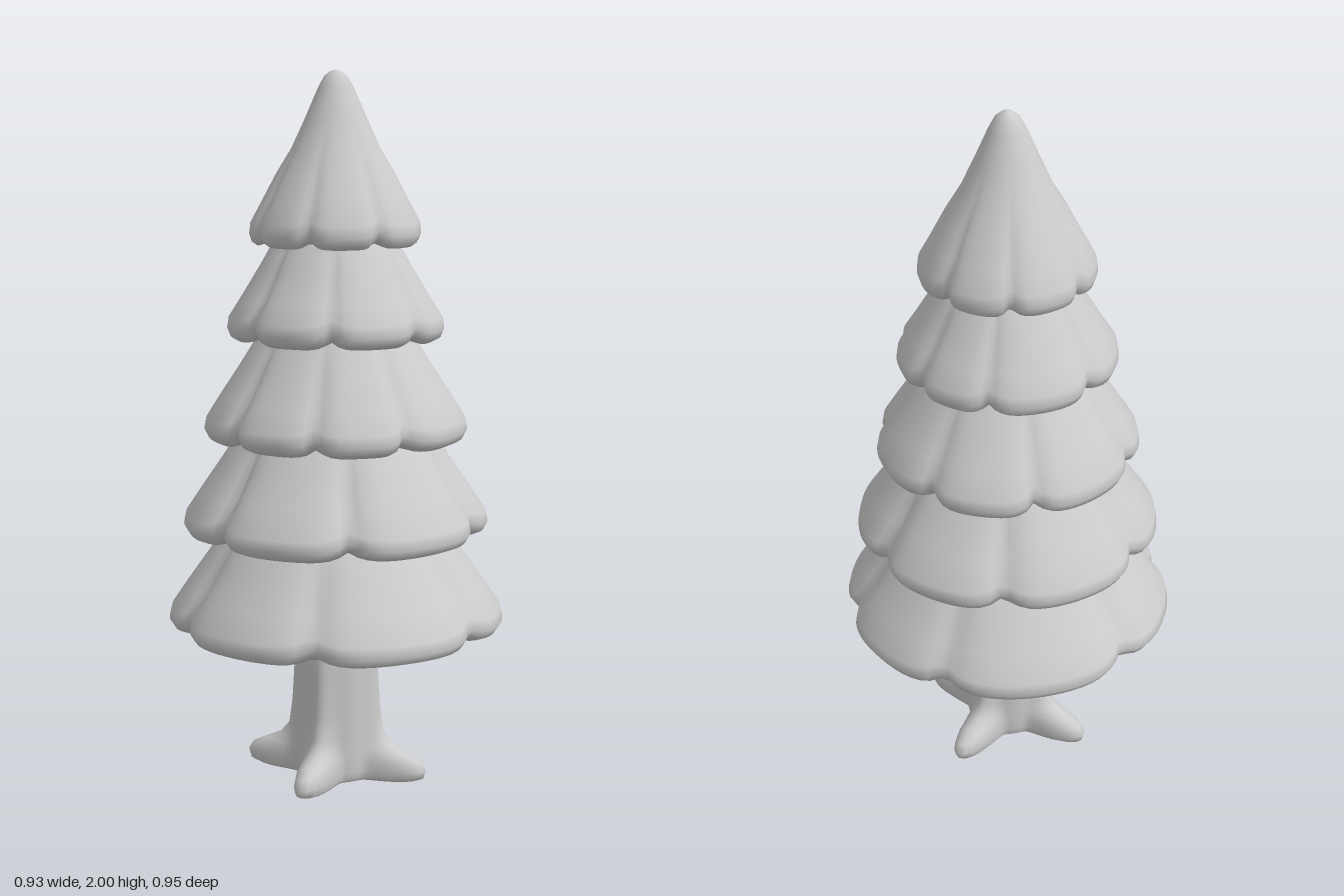
import * as THREE from 'three';

const material = new THREE.MeshStandardMaterial({ color: 0xcccccc });
const SEGMENTS = 96;

// Skin of closed rings; at(ring, angle) gives [radius, y]. First and last rings collapse to the axis.
function ringSkin(name, ringCount, at) {
  const positions = [], index = [];
  for (let i = 0; i < ringCount; i++) {
    for (let j = 0; j < SEGMENTS; j++) {
      const a = (j / SEGMENTS) * Math.PI * 2;
      const [r, y] = at(i, a);
      positions.push(r * Math.cos(a), y, r * Math.sin(a));
      if (i === ringCount - 1) continue;
      const k = (j + 1) % SEGMENTS;
      const p = i * SEGMENTS + j, q = i * SEGMENTS + k;
      index.push(p, p + SEGMENTS, q, q, p + SEGMENTS, q + SEGMENTS);
    }
  }
  const geometry = new THREE.BufferGeometry();
  geometry.setAttribute('position', new THREE.Float32BufferAttribute(positions, 3));
  geometry.setIndex(index);
  geometry.computeVertexNormals();
  const mesh = new THREE.Mesh(geometry, material);
  mesh.name = name;
  return mesh;
}

// 0 in the middle of a bough, rising sharply to 1 at the notch between two boughs
function notchAmount(angle, notches) {
  const deg = THREE.MathUtils.radToDeg(angle);
  for (let i = 0; i < notches.length; i++) {
    const start = notches[i];
    const span = (notches[(i + 1) % notches.length] - start + 360) % 360;
    const offset = (deg - start + 360) % 360;
    if (offset <= span) return Math.abs((2 * offset) / span - 1) ** 5;
  }
  return 0;
}

// Skirt of boughs: rounded lip at the bottom, gullies fading upward
function makeTier({ name, y, R, depth, notches, upper }) {
  // radius, height, gully strength
  const profile = [
    [0, y + 0.06, 0], [0.45 * R, y + 0.035, 0.1], [0.8 * R, y + 0.008, 0.6],
    [0.91 * R, y, 1], [0.97 * R, y + 0.01, 1], [R, y + 0.032, 1], [0.985 * R, y + 0.062, 1],
    ...upper,
  ];
  return ringSkin(name, profile.length, (i, a) => {
    const [r, h, w] = profile[i];
    const n = notchAmount(a, notches) * w;
    const lift = i > 1 && i < 7 ? 0.022 * n : 0;
    return [r * (1 - depth * n), h + lift];
  });
}

const tiers = [
  { name: 'boughTier1', y: 0.44, R: 0.475, depth: 0.085, notches: [0, 58, 122, 180, 235, 306],
    upper: [[0.425, 0.565, 0.9], [0.365, 0.65, 0.7], [0.31, 0.73, 0.4], [0.22, 0.84, 0], [0, 0.9, 0]] },
  { name: 'boughTier2', y: 0.715, R: 0.43, depth: 0.1, notches: [45, 109, 165, 222, 284, 340],
    upper: [[0.375, 0.85, 0.9], [0.32, 0.93, 0.7], [0.275, 1.0, 0.4], [0.2, 1.1, 0], [0, 1.16, 0]] },
  { name: 'boughTier3', y: 0.985, R: 0.37, depth: 0.09, notches: [15, 82, 123, 165, 212, 270, 318],
    upper: [[0.325, 1.11, 0.8], [0.265, 1.2, 0.5], [0.215, 1.28, 0.2], [0.15, 1.37, 0], [0, 1.42, 0]] },
  { name: 'boughTier4', y: 1.265, R: 0.303, depth: 0.09, notches: [20, 65, 117, 165, 233, 293, 335],
    upper: [[0.265, 1.38, 0.8], [0.21, 1.47, 0.5], [0.165, 1.55, 0.2], [0.1, 1.64, 0], [0, 1.68, 0]] },
  { name: 'treeTop', y: 1.525, R: 0.24, depth: 0.1, notches: [30, 84, 133, 180, 227, 280, 327],
    upper: [[0.205, 1.645, 0.75], [0.165, 1.72, 0.4], [0.122, 1.79, 0.15], [0.085, 1.87, 0],
      [0.05, 1.95, 0], [0.033, 1.982, 0], [0.016, 1.996, 0], [0, 2, 0]] },
];

// Trunk with four diagonal roots flaring at the foot
function makeTrunk() {
  // base radius, height, root reach
  const profile = [
    [0, 0, 0], [0.08, 0, 0.08], [0.11, 0, 0.135], [0.118, 0.008, 0.15], [0.12, 0.03, 0.155],
    [0.12, 0.055, 0.14], [0.12, 0.075, 0.1], [0.119, 0.095, 0.055], [0.118, 0.13, 0.026],
    [0.116, 0.2, 0.018], [0.112, 0.32, 0.014], [0.108, 0.5, 0.01], [0, 0.52, 0],
  ];
  return ringSkin('trunk', profile.length, (i, a) => {
    const [r, y, reach] = profile[i];
    const root = Math.abs(Math.sin(2 * a)) ** 6;
    return [r + reach * root, y];
  });
}

export function createModel() {
  const tree = new THREE.Group();
  tree.name = 'pineTree';
  tree.add(makeTrunk(), ...tiers.map(makeTier));
  return tree;
}
